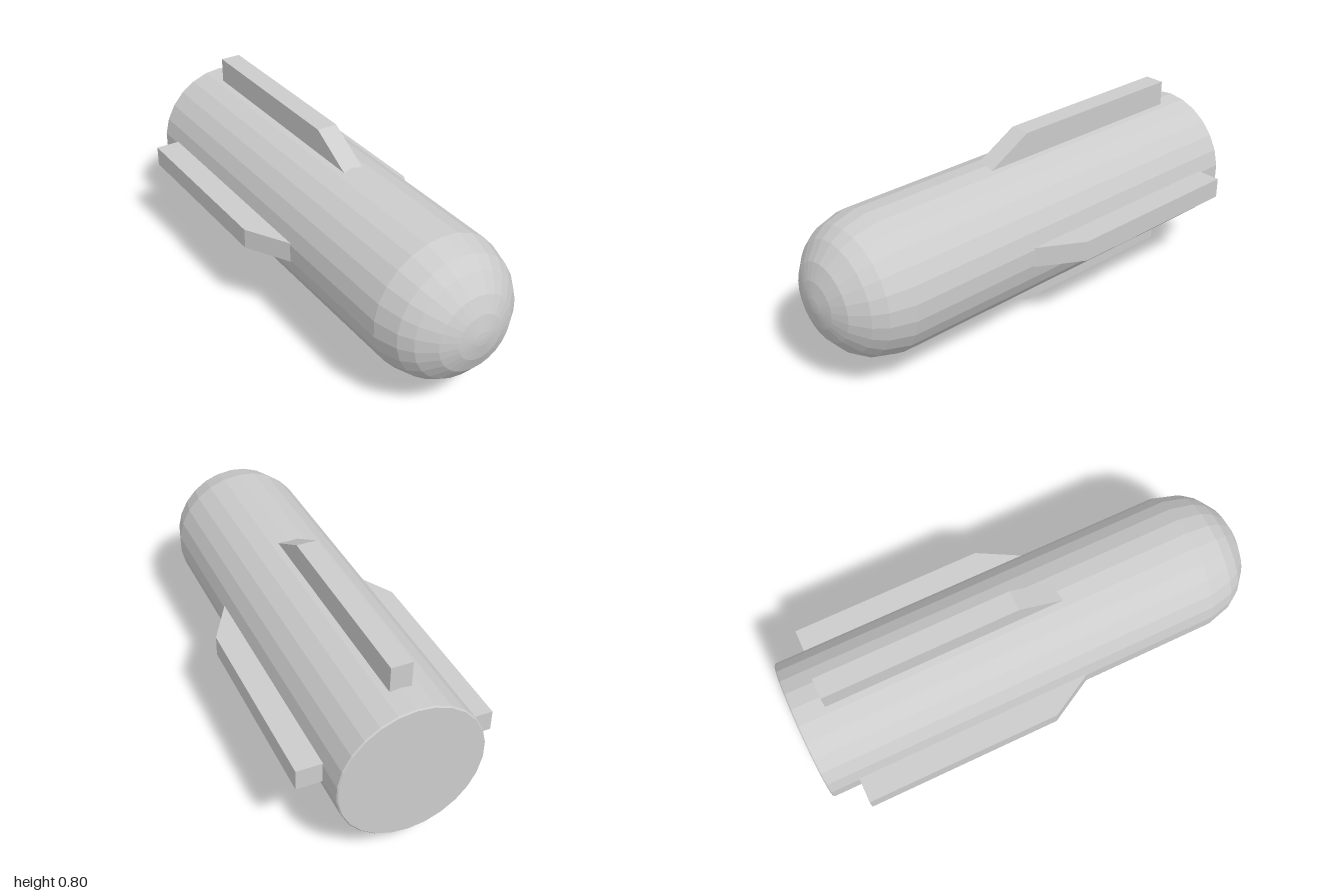
import * as THREE from 'three';

const CENTER_Y = 0.4015;   // height of the long axis
const RADIUS = 0.299;
const FIN_REACH = 0.4015;  // axis to outer face of a fin
const FIN_WIDTH = 0.088;

export function createModel() {
  const model = new THREE.Group();
  model.name = 'finnedCapsule';
  const material = new THREE.MeshStandardMaterial({ color: 0xcccccc, flatShading: true });

  const add = (geometry, name) => {
    const mesh = new THREE.Mesh(geometry, material);
    mesh.name = name;
    mesh.position.y = CENTER_Y;
    model.add(mesh);
    return mesh;
  };

  // Body: flat tail with a fine chamfer, straight tube, domed nose
  const profile = [
    [0, -1], [0.294, -1], [RADIUS, -0.995], [RADIUS, 0.74],
    [0.27, 0.845], [0.233, 0.9], [0.165, 0.957], [0.098, 0.985], [0.03, 0.998], [0, 1],
  ].map(([r, z]) => new THREE.Vector2(r, z));
  add(new THREE.LatheGeometry(profile, 26).rotateX(Math.PI / 2), 'body');

  // Fin: side outline (z, radius) with a sloped leading edge, rooted inside the body
  const outline = new THREE.Shape([
    [-0.873, 0.27], [0.195, 0.27], [-0.042, FIN_REACH], [-0.873, FIN_REACH],
  ].map(([z, r]) => new THREE.Vector2(z, r)));
  const fin = new THREE.ExtrudeGeometry(outline, { depth: FIN_WIDTH, bevelEnabled: false })
    .translate(0, 0, -FIN_WIDTH / 2)
    .rotateY(-Math.PI / 2);

  // Four fins evenly spaced around the axis
  ['topFin', 'rightFin', 'bottomFin', 'leftFin'].forEach((name, i) => {
    add(fin, name).rotation.z = i * Math.PI / 2;
  });

  return model;
}
